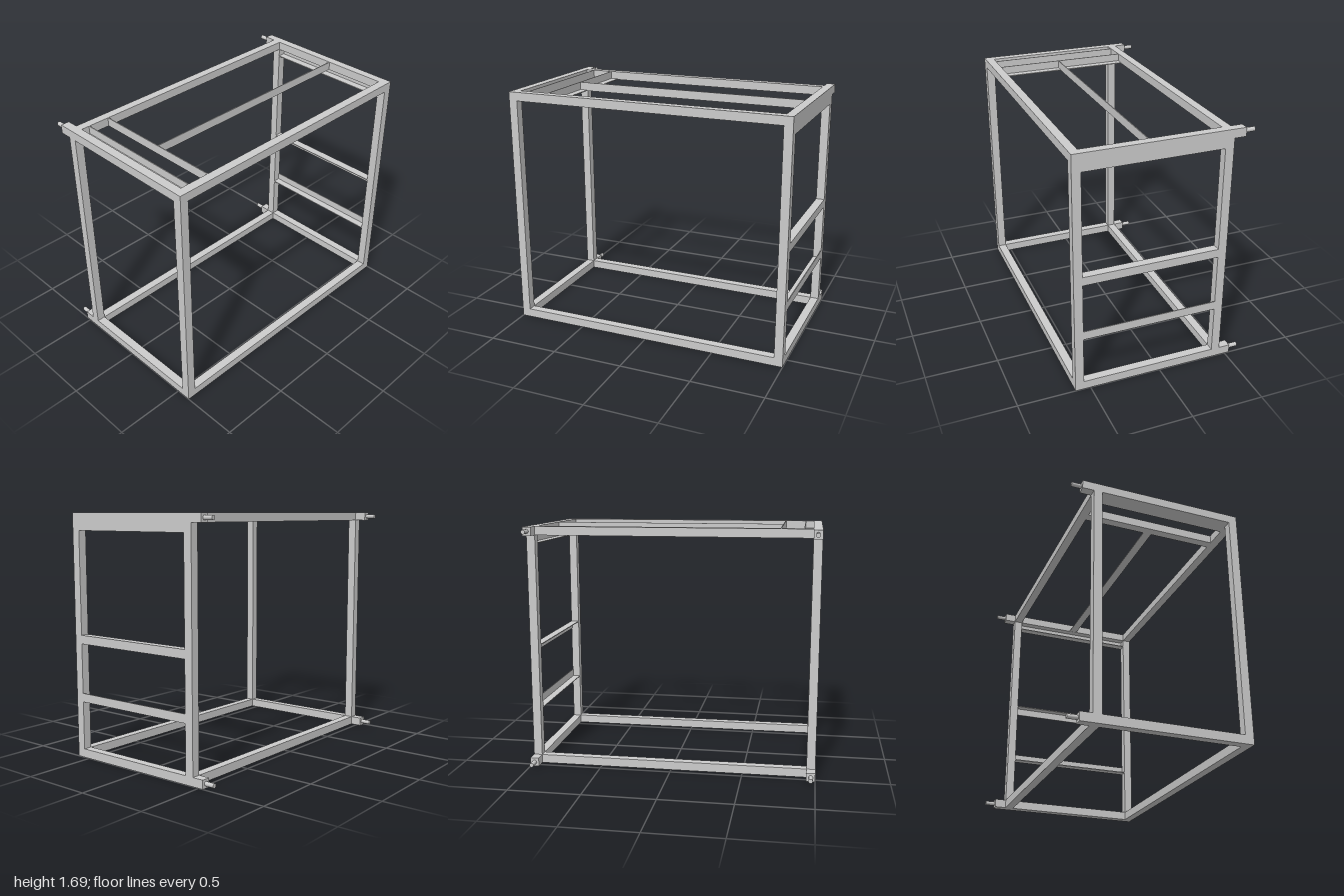
import * as THREE from 'three';

const T = 0.06;      // tube width
const P = 0.006;     // angle iron thickness
const H = 1.69;      // frame height
const FRONT = 0.605, BACK = -0.455, STUB = -0.535;

export function createModel() {
  const group = new THREE.Group();
  const material = new THREE.MeshStandardMaterial({ color: 0xcccccc });

  // Box given by its lower and upper corners
  const bar = (name, a, b, parent = group) => {
    const size = b.map((v, i) => v - a[i]);
    const mesh = new THREE.Mesh(new THREE.BoxGeometry(...size), material);
    mesh.position.set(...a.map((v, i) => (v + b[i]) / 2));
    mesh.name = name;
    parent.add(mesh);
  };

  // Angle iron inside a box: one upright plate on a side, one flat plate at top or bottom
  const angle = (name, a, b, axis, upperSide, flatOnTop = false) => {
    const part = new THREE.Group();
    part.name = name;
    const a1 = [...a], b1 = [...b], a2 = [...a], b2 = [...b];
    if (upperSide) a1[axis] = b[axis] - P; else b1[axis] = a[axis] + P;
    if (flatOnTop) a2[1] = b[1] - P; else b2[1] = a[1] + P;
    // stop the flat plate at the upright one
    if (upperSide) b2[axis] -= P; else a2[axis] += P;
    bar('uprightPlate', a1, b1, part);
    bar('flatPlate', a2, b2, part);
    group.add(part);
  };

  // Main frame
  for (const y of [0, H - T]) {
    const level = y === 0 ? 'bottom' : 'top';
    for (const [side, x] of [['Left', 1 - T], ['Right', -1]]) {
      bar(level + side + 'Rail', [x, y, STUB], [x + T, y + T, FRONT]);
      // Pin on the rear end of the rail
      const pin = new THREE.Mesh(new THREE.CylinderGeometry(0.015, 0.015, 0.07, 24), material);
      pin.rotation.x = Math.PI / 2;
      pin.position.set(x + T / 2, y + T / 2, STUB - 0.035);
      pin.name = level + side + 'Pin';
      group.add(pin);
    }
    bar(level + 'FrontRail', [-1 + T, y, FRONT - T], [1 - T, y + T, FRONT]);
    bar(level + 'BackRail', [-1 + T, y, BACK], [1 - T, y + T, BACK + T]);
  }
  for (const x of [-1, 1 - T])
    for (const z of [BACK, FRONT - T])
      bar('post', [x, T, z], [x + T, H - T, z + T]);

  // Angle irons between the left posts
  const z0 = BACK + T, z1 = FRONT - T;
  for (const [name, y, flatOnTop] of [['lowerRung', 0.395, false], ['upperRung', 0.8, true], ['topRung', H - 2 * T, false]])
    angle(name, [1 - T, y, z0], [1, y + T, z1], 0, true, flatOnTop);

  // Angle irons in the top opening
  const y0 = H - T;
  angle('edgeSupport', [-1 + T, y0, z0], [-0.877, H, z1], 0, true);
  angle('crossSupport', [-0.73, y0, z0], [-0.67, H, z1], 0, false);
  angle('longSupport', [-0.73 + P, y0 + 0.0005, 0.04], [1 - T, H - 0.0005, 0.1], 2, true);

  return group;
}
